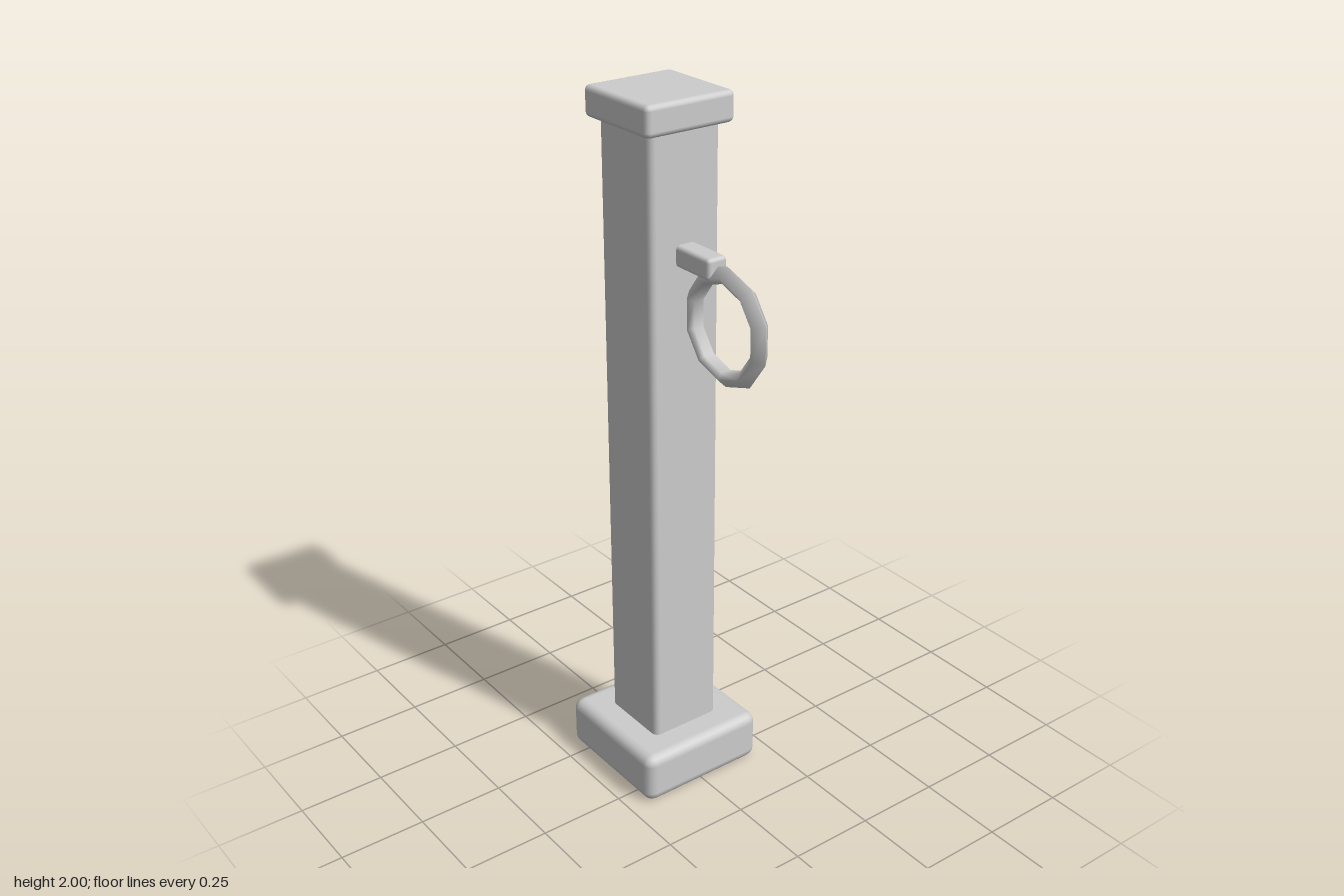
import * as THREE from 'three';
import { RoundedBoxGeometry } from 'three/addons/geometries/RoundedBoxGeometry.js';

export function createModel() {
  const group = new THREE.Group();
  const stone = new THREE.MeshStandardMaterial({ color: 0xcccccc });
  stone.name = 'light grey';

  const add = (name, geometry, x, y, z) => {
    const mesh = new THREE.Mesh(geometry, stone);
    mesh.name = name;
    mesh.position.set(x, y, z);
    group.add(mesh);
    return mesh;
  };

  // Rounded block spanning y0 to y1
  const block = (name, width, depth, y0, y1, z, radius) =>
    add(name, new RoundedBoxGeometry(width, y1 - y0, depth, 2, radius), 0, (y0 + y1) / 2, z);

  // Post with its foot and cap
  const postZ = -0.118;
  block('base', 0.394, 0.394, 0, 0.152, postZ, 0.03);
  block('post', 0.218, 0.218, 0.11, 1.95, postZ, 0.018);
  block('cap', 0.27, 0.27, 1.918, 2, postZ, 0.015);

  // Short arm holding the ring
  block('ringArm', 0.06, 0.153, 1.568, 1.626, 0.0465, 0.011);

  // Ten-sided ring with a ridge around its outside
  const profile = [
    [0.162, 0], [0.136, 0.026], [0.119, 0.015],
    [0.119, -0.015], [0.136, -0.026], [0.162, 0],
  ].map(([r, h]) => new THREE.Vector2(r, h));
  const ring = new THREE.LatheGeometry(profile, 10, Math.PI / 10);
  ring.rotateZ(Math.PI / 2);
  add('ring', ring, 0, 1.453, 0.159);

  return group;
}
